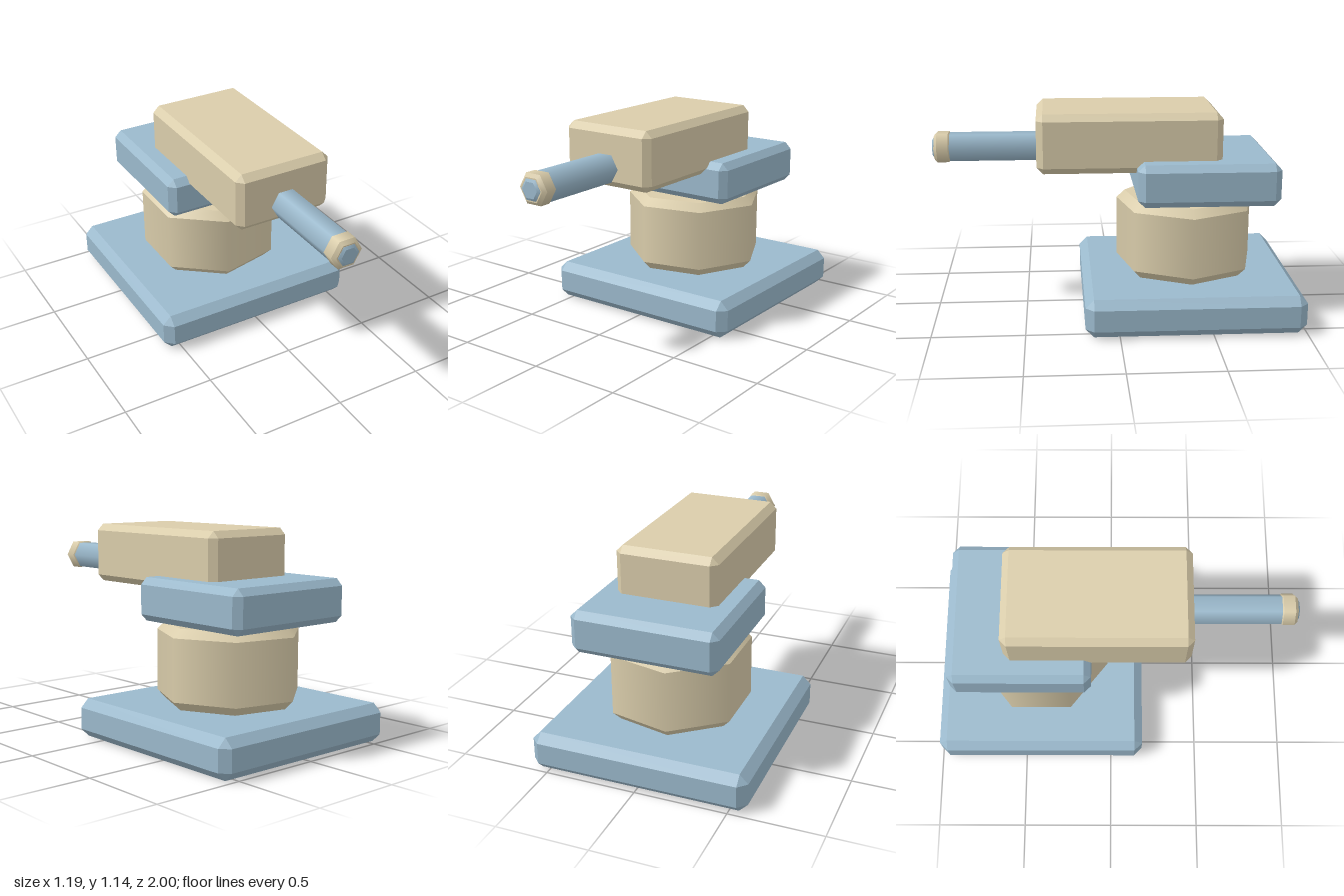
import * as THREE from 'three';
import { mergeGeometries } from 'three/addons/utils/BufferGeometryUtils.js';
import { ConvexGeometry } from 'three/addons/geometries/ConvexGeometry.js';

// Box with all edges chamfered; each range is [min, max]
function chamferBox([x0, x1], [y0, y1], [z0, z1], c) {
  const points = [];
  const hx = (x1 - x0) / 2, hy = (y1 - y0) / 2, hz = (z1 - z0) / 2;
  for (const sx of [-1, 1]) for (const sy of [-1, 1]) for (const sz of [-1, 1]) {
    points.push(
      new THREE.Vector3(sx * hx, sy * (hy - c), sz * (hz - c)),
      new THREE.Vector3(sx * (hx - c), sy * hy, sz * (hz - c)),
      new THREE.Vector3(sx * (hx - c), sy * (hy - c), sz * hz));
  }
  return new ConvexGeometry(points).translate((x0 + x1) / 2, (y0 + y1) / 2, (z0 + z1) / 2);
}

// Stack of prism bands through [radius, height] rings: smooth around, creased
// between bands, with flat caps. A corner points to +x.
function bandedPrism(rings, sides) {
  const bands = [];
  for (let i = 0; i < rings.length - 1; i++) {
    const [r0, h0] = rings[i], [r1, h1] = rings[i + 1];
    bands.push(new THREE.CylinderGeometry(r1, r0, h1 - h0, sides, 1, true, Math.PI / 2)
      .translate(0, (h0 + h1) / 2, 0));
  }
  const [rb, hb] = rings[0], [rt, ht] = rings[rings.length - 1];
  bands.push(new THREE.CircleGeometry(rt, sides).rotateX(-Math.PI / 2).translate(0, ht, 0));
  // the bottom cap is mirrored by a half turn about x, keeping its corner on +x
  bands.push(new THREE.CircleGeometry(rb, sides).rotateX(Math.PI / 2).translate(0, hb, 0));
  return mergeGeometries(bands);
}

export function createModel() {
  const group = new THREE.Group();
  const blue = new THREE.MeshStandardMaterial({ color: 0x9bb9cc });
  blue.name = 'pale blue';
  const tan = new THREE.MeshStandardMaterial({ color: 0xdacdab });
  tan.name = 'sand';

  const add = (name, geometry, material) => {
    const mesh = new THREE.Mesh(geometry, material);
    mesh.name = name;
    group.add(mesh);
    return mesh;
  };

  // Square base slab
  add('base', chamferBox([-0.593, 0.593], [0, 0.21], [-1, 0.183], 0.046), blue);

  // Seven-sided pedestal
  add('pedestal', bandedPrism(
    [[0.349, 0.21], [0.395, 0.257], [0.395, 0.593], [0.349, 0.638]], 7), tan)
    .position.z = -0.405;

  // Swivel plate, floating just above the pedestal
  add('swivelPlate', chamferBox([-0.396, 0.396], [0.653, 0.885], [-0.873, -0.107], 0.037), blue);

  // Gun housing
  add('housing', chamferBox([-0.278, 0.278], [0.816, 1.14], [-0.571, 0.429], 0.036), tan);

  // Barrel parts, six-sided, along z
  const barrelParts = [
    ['barrel', [[0.084, 0.38], [0.084, 0.92]], blue],
    ['muzzleRing', [[0.084, 0.905], [0.09, 0.911], [0.09, 0.973], [0.07, 0.99]], tan],
    ['muzzleTip', [[0.062, 0.95], [0.062, 0.991], [0.047, 1]], blue],
  ];
  for (const [name, rings, material] of barrelParts) {
    add(name, bandedPrism(rings, 6).rotateX(Math.PI / 2), material).position.y = 0.92;
  }
  return group;
}
